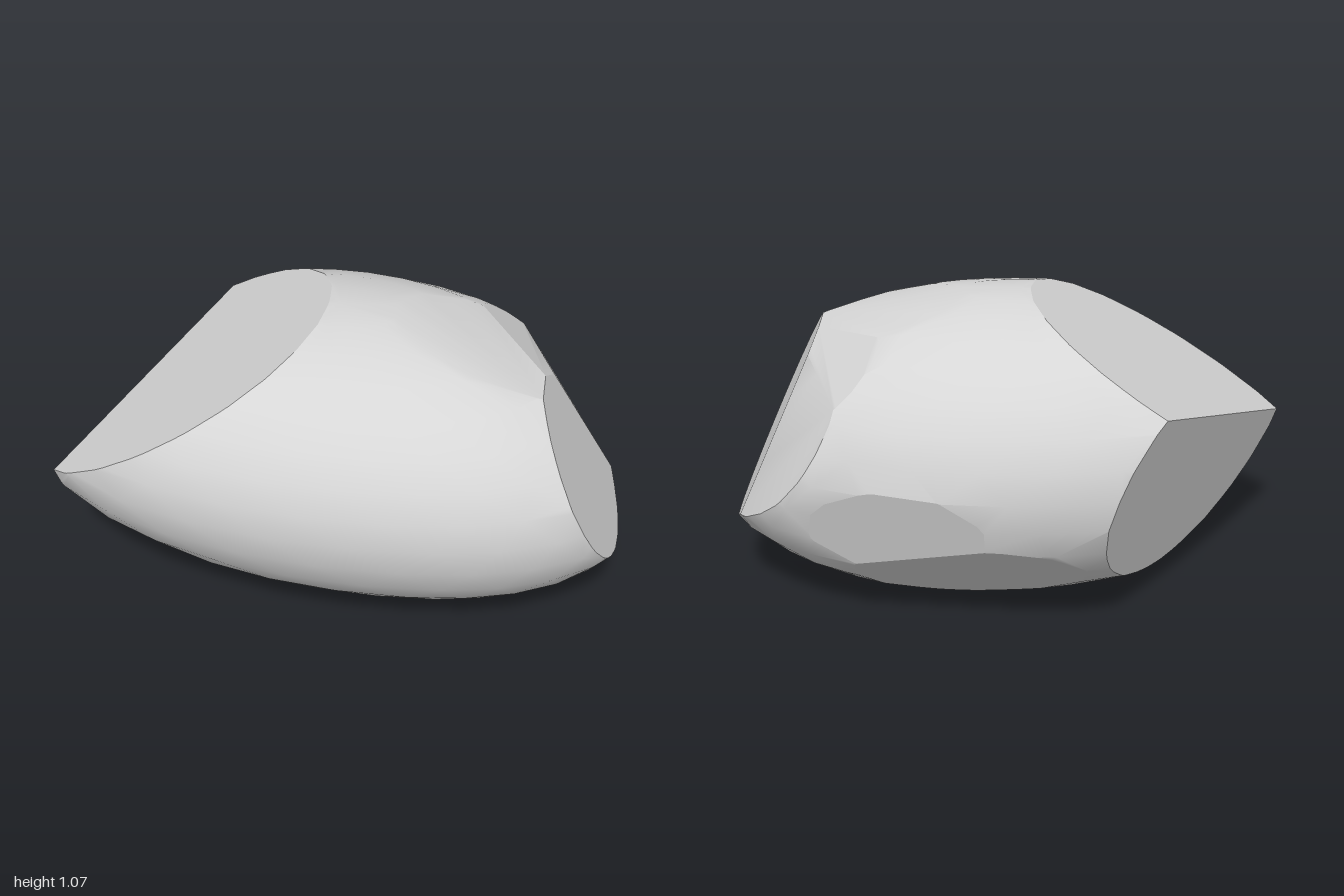
import * as THREE from 'three';
import { toCreasedNormals } from 'three/addons/utils/BufferGeometryUtils.js';
import { ConvexGeometry } from 'three/addons/geometries/ConvexGeometry.js';

const makePlane = ([x, y, z, d]) => {
  const n = new THREE.Vector3(x, y, z);
  const len = n.length();
  return new THREE.Plane(n.divideScalar(len), -d / len);
};

// Gently worn sides: outward normal and distance from the origin
const wornSides = [
  [0.842, 0.488, -0.236, 1.002],  // back of the left end
  [0.617, 0.752, -0.23, 1.06],    // upper left shoulder
  [0.3, 0.95, 0, 1.06],           // top, sloping to the left
].map(makePlane);

// Sharp chipped facets
const facets = [
  [0.13, -0.72, -0.68, 0.174],    // lower back
  [0.903, 0.417, 0.097, 1.006],   // left end
  [0.35, -0.28, -0.89, 0.493],    // back left chip
  [-0.72, -0.27, -0.64, 0.46],    // undercut back right
  [-0.525, 0.846, -0.087, 0.931], // sloping top
].map(makePlane);

// Skewed pebble, longer toward -x
function pebblePoints(around, rings) {
  const points = [];
  for (let j = 0; j <= rings; j++) {
    const v = (j / rings) * Math.PI;
    const count = j === 0 || j === rings ? 1 : around;
    for (let i = 0; i < count; i++) {
      const u = ((i + (j % 2) / 2) / around) * Math.PI * 2;
      const sx = Math.sin(v) * Math.cos(u);
      const y = 0.535 + 0.535 * Math.cos(v);
      const z = 0.66 * Math.sin(v) * Math.sin(u);
      const x = 0.1 + 0.33 * z - 0.2 * (y - 0.53) + sx * (sx < 0 ? 1.26 : 0.98);
      points.push(new THREE.Vector3(x, y, z));
    }
  }
  return points;
}

// Cut a convex hull by a plane, returning the points that remain
function cut(points, plane) {
  const pos = new ConvexGeometry(points).getAttribute('position');
  const kept = points.filter((p) => plane.distanceToPoint(p) < -0.004);
  for (let t = 0; t < pos.count; t += 3) {
    for (let k = 0; k < 3; k++) {
      const a = new THREE.Vector3().fromBufferAttribute(pos, t + k);
      const b = new THREE.Vector3().fromBufferAttribute(pos, t + ((k + 1) % 3));
      const da = plane.distanceToPoint(a);
      const db = plane.distanceToPoint(b);
      // each edge is shared by two triangles, so take one direction only
      if (da < 0 && db >= 0) kept.push(a.lerp(b, da / (da - db)));
    }
  }
  return kept;
}

// Keep the chipped facets perfectly flat
function flattenFacets(geometry) {
  const pos = geometry.getAttribute('position');
  const normal = geometry.getAttribute('normal');
  const p = new THREE.Vector3();
  for (let t = 0; t < pos.count; t += 3) {
    for (const plane of facets) {
      const onPlane = [0, 1, 2].every(
        (k) => Math.abs(plane.distanceToPoint(p.fromBufferAttribute(pos, t + k))) < 0.001);
      if (!onPlane) continue;
      const n = plane.normal;
      for (let k = 0; k < 3; k++) normal.setXYZ(t + k, n.x, n.y, n.z);
    }
  }
  return geometry;
}

export function createModel() {
  const group = new THREE.Group();
  group.name = 'rock';
  const stone = new THREE.MeshStandardMaterial({ color: 0xd6d6d6 });
  stone.name = 'pale grey stone';

  let points = pebblePoints(28, 16);
  for (const plane of [...wornSides, ...facets]) points = cut(points, plane);
  const geometry = flattenFacets(toCreasedNormals(new ConvexGeometry(points), 0.4));

  const body = new THREE.Mesh(geometry, stone);
  body.name = 'stoneBody';
  group.add(body);
  return group;
}
